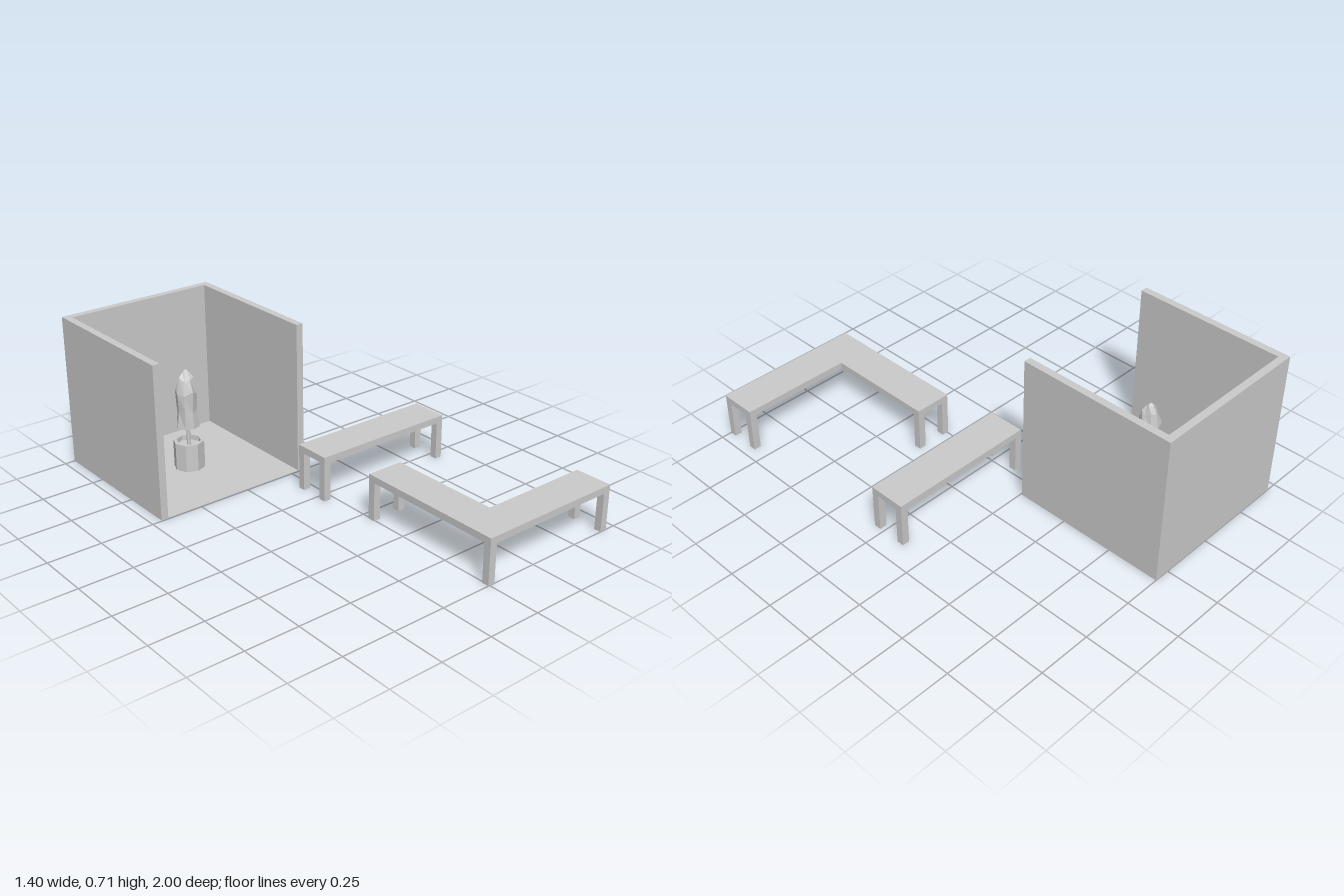
import * as THREE from 'three';

const material = new THREE.MeshStandardMaterial({
  color: 0xcccccc, flatShading: true, side: THREE.DoubleSide,
});

function add(parent, name, geometry, x = 0, y = 0, z = 0) {
  const mesh = new THREE.Mesh(geometry, material);
  mesh.name = name;
  mesh.position.set(x, y, z);
  parent.add(mesh);
  return mesh;
}

// Upright prism over an [x, z] outline, without its underside (and optionally its top)
function openPrism(outline, y0, y1, withTop = true) {
  const shape = new THREE.Shape(outline.map(([x, z]) => new THREE.Vector2(x, -z)));
  const geo = new THREE.ExtrudeGeometry(shape, { depth: y1 - y0, bevelEnabled: false });
  geo.rotateX(-Math.PI / 2).translate(0, y0, 0);
  const p = geo.attributes.position, n = geo.attributes.normal;
  const kept = [];
  for (let i = 0; i < p.count; i += 3) {
    const ny = n.getY(i);
    if (ny < -0.5 || (ny > 0.5 && !withTop)) continue;
    for (let k = i; k < i + 3; k++) kept.push(p.getX(k), p.getY(k), p.getZ(k));
  }
  const result = new THREE.BufferGeometry();
  result.setAttribute('position', new THREE.Float32BufferAttribute(kept, 3));
  result.computeVertexNormals();
  return result;
}

const rect = (x0, x1, z0, z1) => [[x0, z0], [x0, z1], [x1, z1], [x1, z0]];

// Bench: hollow seat slab on square legs; legs are given by their low x, z corner
function makeBench(name, outline, legs) {
  const bench = new THREE.Group();
  bench.name = name;
  const under = 0.181, top = 0.213, w = 0.034;
  add(bench, 'seat', openPrism(outline, under, top));
  for (const [x, z] of legs) {
    add(bench, 'leg', openPrism(rect(x, x + w, z, z + w), 0, under, false));
  }
  return bench;
}

// Three walls and a thin floor, open at the front and top
function makeEnclosure() {
  const g = new THREE.Group();
  g.name = 'enclosure';
  const x0 = -0.702, x1 = 0.074, z0 = -1, z1 = -0.256, h = 0.713, t = 0.034;
  const walls = [
    [x0, z0], [x0, z1], [x0 + t, z1], [x0 + t, z0 + t],
    [x1 - t, z0 + t], [x1 - t, z1], [x1, z1], [x1, z0],
  ];
  add(g, 'walls', openPrism(walls, 0, h));
  add(g, 'floor', new THREE.BoxGeometry(x1 - x0, 0.002, z1 - z0),
    (x0 + x1) / 2, 0.001, (z0 + z1) / 2);
  return g;
}

// Potted tree with a faceted, slightly irregular crown
function makePlant() {
  const g = new THREE.Group();
  g.name = 'pottedTree';
  g.position.set(-0.315, 0, -0.615);
  const v = (r, y) => new THREE.Vector2(r, y);

  add(g, 'pot', new THREE.LatheGeometry(
    [v(0, 0.002), v(0.072, 0.002), v(0.072, 0.134), v(0.056, 0.134), v(0.056, 0.11), v(0, 0.11)], 8));
  add(g, 'trunk', new THREE.CylinderGeometry(0.009, 0.009, 0.1, 6, 1, true), 0, 0.155, 0);

  const crown = new THREE.LatheGeometry(
    [v(0, 0.191), v(0.052, 0.205), v(0.047, 0.29), v(0.05, 0.375), v(0.034, 0.44), v(0.014, 0.473), v(0, 0.485)], 8);
  const p = crown.attributes.position;
  for (let i = 0; i < p.count; i++) {
    const x = p.getX(i), y = p.getY(i), z = p.getZ(i);
    const r = Math.hypot(x, z);
    if (r < 0.001) continue;
    const wave = Math.sin(3 * Math.atan2(z, x) + y * 25);
    const s = 1 + 0.06 * wave;
    p.setXYZ(i, x * s, y + (y > 0.25 && y < 0.45 ? 0.012 * wave : 0), z * s);
  }
  crown.computeVertexNormals();
  add(g, 'crown', crown);
  return g;
}

export function createModel() {
  const model = new THREE.Group();
  model.name = 'seatingArea';
  model.add(makeEnclosure(), makePlant());

  // Straight bench
  model.add(makeBench('straightBench', rect(-0.057, 0.651, -0.122, 0.054), [
    [-0.057, -0.122], [-0.057, 0.02], [0.617, -0.122], [0.617, 0.02],
  ]));

  // L-shaped bench
  model.add(makeBench('cornerBench', [
    [-0.007, 0.291], [-0.007, 1], [0.7, 1], [0.7, 0.823], [0.169, 0.823], [0.169, 0.291],
  ], [
    [-0.007, 0.291], [0.135, 0.291], [-0.007, 0.966], [0.666, 0.966], [0.666, 0.823],
  ]));
  return model;
}
